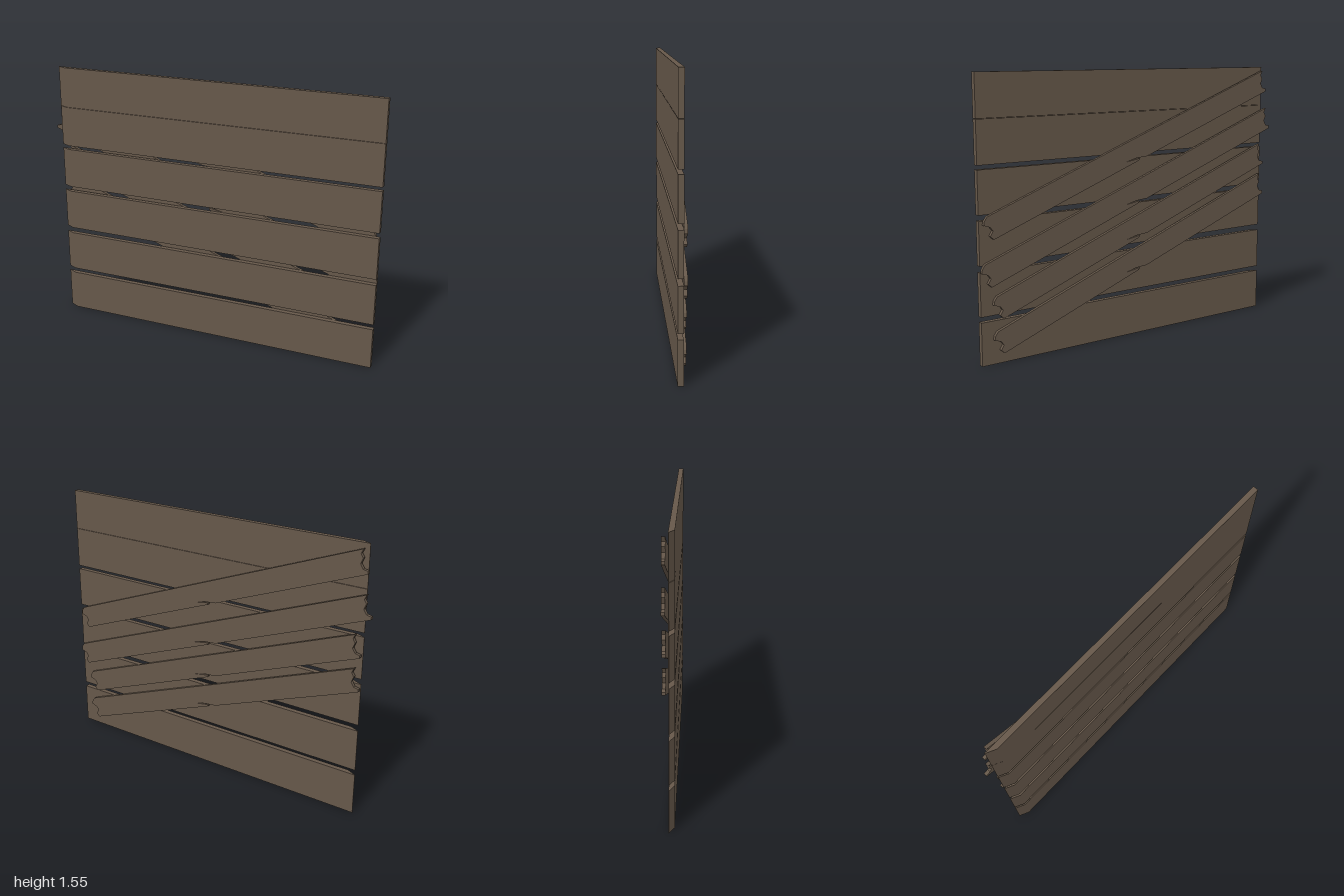
import * as THREE from 'three';

const wood = new THREE.MeshStandardMaterial({ color: 0x66584a });
wood.name = 'weathered wood';

// Outline in a plane, extruded to the given depth
function slab(points, depth) {
  const shape = new THREE.Shape(points.map(([x, y]) => new THREE.Vector2(x, y)));
  return new THREE.ExtrudeGeometry(shape, { depth, bevelEnabled: false });
}

// Horizontal board whose right end tapers to a thin edge at the back
function createBoard(bottom, top) {
  const geometry = slab([[-0.985, 0], [0.995, 0], [0.995, -0.03], [-0.93, -0.03], [-0.985, -0.003]], top - bottom);
  geometry.rotateX(-Math.PI / 2);
  // Shade the taper as one smooth surface with the front
  const normal = geometry.attributes.normal;
  for (let i = 0; i < normal.count; i++) {
    if (normal.getZ(i) > 0.5) normal.setXYZ(i, 0, 0, 1);
  }
  const board = new THREE.Mesh(geometry, wood);
  board.position.y = bottom;
  return board;
}

// Splintered end profiles: [height across the plank, inset from its tip]
const HALF = 0.065;
const rightEnd = [[HALF, 0], [0.045, 0.022], [0.02, 0.017], [-0.005, 0.04], [-0.035, 0.034], [-0.05, 0.01], [-HALF, 0.016]];
const leftEnd = [[-HALF, 0.025], [-0.04, 0.012], [-0.02, 0.038], [0.005, 0.03], [0.03, 0], [0.05, 0.012], [HALF, 0.035]];

// Diagonal plank with broken ends and a split in its lower edge
function createPlank(u0, u1) {
  const outline = [
    ...rightEnd.map(([v, inset]) => [u0 + inset, v]),
    [-0.05, -HALF], [0.02, -HALF + 0.02], [0.1, -HALF + 0.03], [0.0, -HALF + 0.01], [0.01, -HALF],
    ...leftEnd.map(([v, inset]) => [u1 - inset, v]),
  ];
  return new THREE.Mesh(slab(outline, 0.019), wood);
}

export function createModel() {
  const model = new THREE.Group();
  model.name = 'boardedBarrier';

  // Front boards
  const rows = [[0, 0.24], [0.27, 0.51], [0.545, 0.785], [0.815, 1.052], [1.075, 1.312], [1.314, 1.55]];
  rows.forEach(([bottom, top], i) => {
    const board = createBoard(bottom, top);
    board.name = `frontBoard${i + 1}`;
    model.add(board);
  });

  // Diagonal planks nailed across the back: [height at the middle, right tip, left tip]
  const planks = [[1.096, -1.055, 1.03], [0.85, -1.092, 1.05], [0.645, -1.04, 0.98], [0.453, -1.045, 0.98]];
  planks.forEach(([y, u0, u1], i) => {
    const plank = createPlank(u0, u1);
    plank.name = `backPlank${i + 1}`;
    plank.position.set(0, y, -0.026);
    plank.rotation.set(0, -0.0066, -0.3588);
    model.add(plank);
  });

  return model;
}
